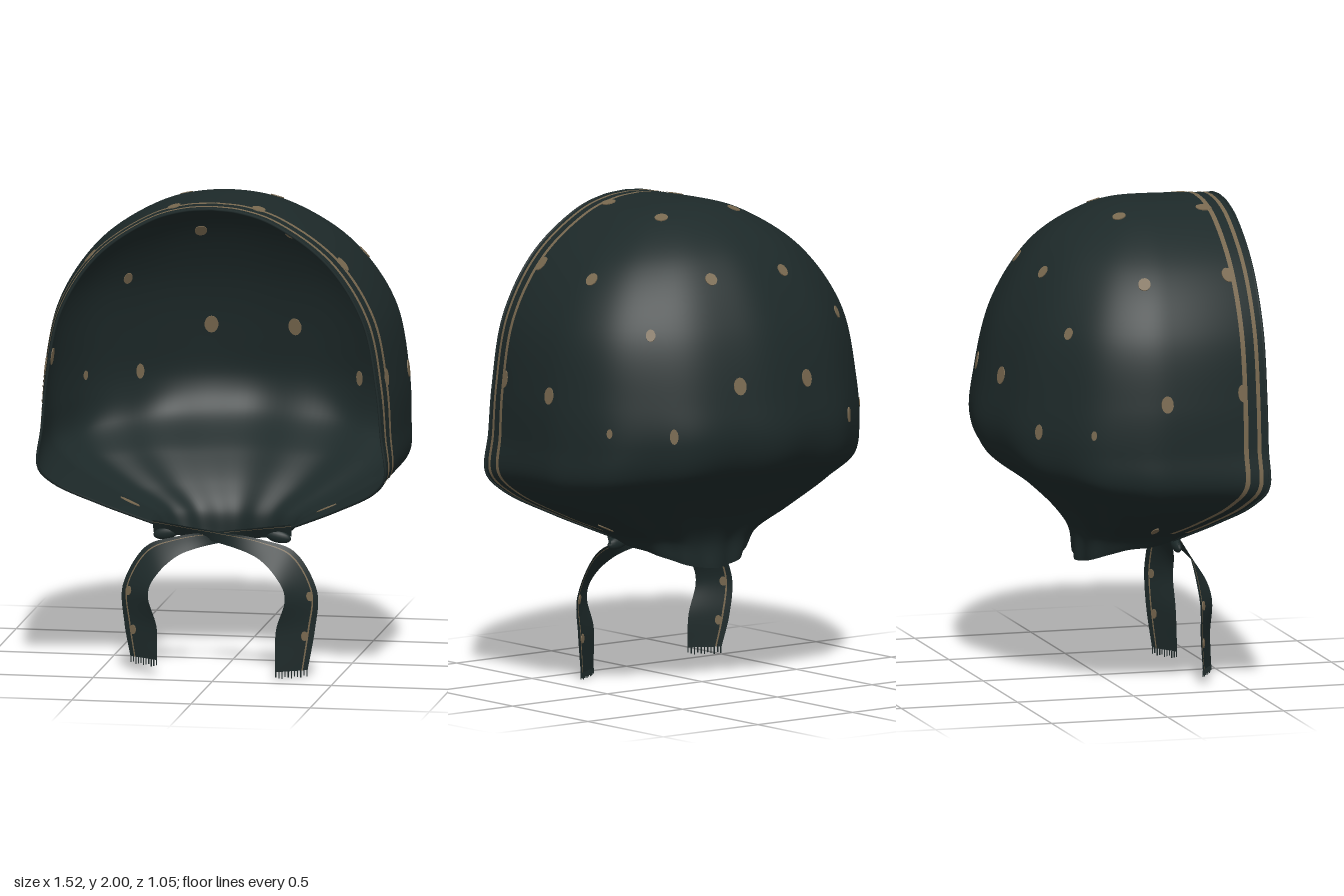
import * as THREE from 'three';
import { mergeVertices } from 'three/addons/utils/BufferGeometryUtils.js';

const V = (x, y, z) => new THREE.Vector3(x, y, z);
const curve = (pts) => new THREE.CatmullRomCurve3(pts.map((p) => V(...p)));

// Guide curves of the hood, each running from the crown down to the neck
const frontEdge = curve([
  [0, 1.99, 0.52], [0.112, 1.98, 0.52], [0.255, 1.935, 0.52], [0.482, 1.775, 0.52],
  [0.635, 1.535, 0.52], [0.693, 1.25, 0.52], [0.712, 1.05, 0.52], [0.728, 0.885, 0.52],
  [0.675, 0.81, 0.47], [0.5, 0.71, 0.37], [0.335, 0.632, 0.283], [0.265, 0.6, 0.245],
]);
const sideLine = curve([
  [0, 2, 0.2], [0.13, 1.99, 0.18], [0.287, 1.943, 0.16], [0.53, 1.78, 0.13],
  [0.693, 1.537, 0.1], [0.75, 1.25, 0.1], [0.757, 1.05, 0.09], [0.75, 0.905, 0.09],
  [0.67, 0.815, 0.09], [0.475, 0.7, 0.08], [0.31, 0.62, 0.09], [0.268, 0.572, 0.1],
]);
const backLine = curve([
  [0, 2, 0.16], [0, 1.993, 0.08], [0, 1.953, -0.06], [0, 1.815, -0.265],
  [0, 1.55, -0.43], [0, 1.25, -0.505], [0, 1.08, -0.52], [0, 0.96, -0.468],
  [0, 0.82, -0.29], [0, 0.7, -0.17], [0, 0.6, -0.11], [0, 0.49, -0.1],
]);
const BACK = 0.6; // share of the half section that is the rounded back

// Point of the hood: u = -1..1 from rim to rim round the back, v = 0..1 from crown to neck
function hoodPoint(u, v) {
  const w = Math.abs(u), side = u < 0 ? -1 : 1;
  const f = frontEdge.getPoint(v), m = sideLine.getPoint(v), b = backLine.getPoint(v);
  if (w > BACK) {
    const t = (w - BACK) / (1 - BACK);
    return V(side * (m.x + (f.x - m.x) * t * t), m.y + (f.y - m.y) * t * t, m.z + (f.z - m.z) * t);
  }
  const a = (w / BACK) * Math.PI / 2, s = Math.sin(a), c = Math.cos(a);
  // soft pleats gathering toward the neck
  const amp = 0.005 + 0.027 * THREE.MathUtils.smoothstep(v, 0.42, 0.85);
  const k = 1 + amp * Math.cos(12 * a) * c * Math.min(1, v * 3);
  return V(side * m.x * s * k, b.y + (m.y - b.y) * s * s, m.z - (m.z - b.z) * c * k);
}

// Local outward frame on the hood
function hoodFrame(u, v) {
  const e = 0.004;
  const u0 = Math.max(-1, u - e), u1 = Math.min(1, u + e);
  const v0 = Math.max(0, v - e), v1 = Math.min(1, v + e);
  const du = hoodPoint(u1, v).sub(hoodPoint(u0, v)).normalize();
  const dv = hoodPoint(u, v1).sub(hoodPoint(u, v0));
  const n = du.clone().cross(dv).normalize();
  return { p: hoodPoint(u, v), n, du };
}

// Smooth surface from a point rule f(s, t), both 0..1
function sheet(f, ns, nt) {
  const pos = [], idx = [];
  for (let j = 0; j <= nt; j++)
    for (let i = 0; i <= ns; i++) pos.push(...f(i / ns, j / nt).toArray());
  for (let j = 0; j < nt; j++)
    for (let i = 0; i < ns; i++) {
      const a = j * (ns + 1) + i, c = a + ns + 1;
      idx.push(a, a + 1, c, a + 1, c + 1, c);
    }
  let g = new THREE.BufferGeometry();
  g.setAttribute('position', new THREE.Float32BufferAttribute(pos, 3));
  g.setIndex(idx);
  g = mergeVertices(g, 1e-5);
  g.computeVertexNormals();
  return g;
}

export function createModel() {
  const group = new THREE.Group();
  group.name = 'bonnet';
  const cloth = new THREE.MeshStandardMaterial({ name: 'dark teal cloth', color: 0x1d2929, side: THREE.DoubleSide });
  const gold = new THREE.MeshStandardMaterial({ name: 'dull gold print', color: 0x78684f, side: THREE.DoubleSide });
  const add = (name, geometry, material, parent = group) => {
    const mesh = new THREE.Mesh(geometry, material);
    mesh.name = name;
    parent.add(mesh);
    return mesh;
  };

  // Hood
  add('hood', sheet((s, t) => hoodPoint(s * 2 - 1, t), 120, 100), cloth);

  for (const side of [1, -1]) {
    const label = side > 0 ? 'left' : 'right';
    // Rolled hem along the face opening
    const hem = [];
    for (let i = 0; i <= 60; i++) hem.push(hoodPoint(side, i / 60).add(V(0, 0, -0.005)));
    add(label + 'Hem', new THREE.TubeGeometry(new THREE.CatmullRomCurve3(hem), 90, 0.006, 6), cloth);

    // Two printed stripes following the rim
    for (const [d0, d1] of [[0.034, 0.052], [0.092, 0.113]]) {
      add(label + 'RimStripe', sheet((s, t) => {
        const v = t * 0.88;
        const run = frontEdge.getPoint(v).z - sideLine.getPoint(v).z;
        const u = side * (BACK + (1 - BACK) * (1 - (d0 + (d1 - d0) * s) / run));
        const { p, n } = hoodFrame(u, v);
        return p.addScaledVector(n, 0.003);
      }, 2, 100), gold);
    }
  }

  // Printed dots, showing on both faces of the cloth: position, then half width and half height
  const dots = [
    [0.19, 1.97, 0.03, 0.028, 0.028], [0.57, 1.74, 0.03, 0.026, 0.03],
    [0.19, 1.765, -0.31, 0.026, 0.028], [0.5, 1.53, -0.29, 0.02, 0.026],
    [0.18, 1.315, -0.48, 0.029, 0.037], [0.455, 1.13, -0.39, 0.018, 0.032],
    [0.63, 1.13, -0.2, 0.012, 0.02], [0.75, 1.27, 0.08, 0.026, 0.036],
    [0.18, 1.97, 0.395, 0.034, 0.028], [0.52, 1.74, 0.395, 0.026, 0.034],
    [0.72, 1.29, 0.405, 0.02, 0.036], [0.42, 0.66, 0.12, 0.014, 0.045],
  ];
  const dotShape = new THREE.CylinderGeometry(1, 1, 0.007, 14);
  for (const [x, y, z, rx, ry] of dots) {
    const target = V(x, y, z);
    let best = null, bestD = Infinity;
    for (let i = 0; i <= 120; i++)
      for (let j = 1; j <= 120; j++) {
        const dist = hoodPoint(i / 120, j / 120).distanceToSquared(target);
        if (dist < bestD) { bestD = dist; best = [i / 120, j / 120]; }
      }
    for (const side of [1, -1]) {
      const { p, n, du } = hoodFrame(best[0] * side, best[1]);
      const dot = add('printedDot', dotShape, gold);
      dot.quaternion.setFromRotationMatrix(new THREE.Matrix4().makeBasis(du, n, du.clone().cross(n)));
      dot.position.copy(p);
      dot.scale.set(rx, 1, ry);
    }
  }

  // Ties: each starts at one neck corner, crosses the front and hangs on the other side
  function tie(name, side, lift, forward) {
    const part = new THREE.Group();
    part.name = name;
    const centre = curve([
      [-0.29, 0.6, 0.262], [-0.15, 0.59, 0.29], [0, 0.572, 0.31], [0.17, 0.535, 0.33],
      [0.28, 0.475, 0.347], [0.347, 0.35, 0.358], [0.325, 0.2, 0.362], [0.31, 0.03 + lift, 0.373],
    ]);
    const half = curve([
      [0, 0.028, 0.012], [0, 0.024, 0.015], [0.005, 0.024, 0.005], [0.012, 0.033, -0.018],
      [0.035, 0.045, -0.04], [0.06, 0.012, -0.044], [0.075, 0, -0.042], [0.062, 0, -0.036],
    ]);
    const at = (s, t) => {
      const p = centre.getPoint(t).addScaledVector(half.getPoint(t), s);
      p.z += forward * Math.sin(Math.PI * Math.min(1, t * 1.4));
      p.x *= side;
      return p;
    };
    // lengthwise bands: cloth, gold line, cloth border
    [[-1, 0.62, cloth], [0.62, 0.71, gold], [0.71, 1, cloth]].forEach(([a, b, mat]) =>
      add(mat === gold ? 'tieStripe' : 'tieCloth', sheet((s, t) => at(a + (b - a) * s, t), 4, 60), mat, part));
    // small dots near the outer edge
    for (const t of [0.73, 0.88]) {
      const p = at(0.5, t), across = at(1, t).sub(at(-1, t)).normalize();
      const along = at(0.5, t + 0.01).sub(at(0.5, t - 0.01)).normalize();
      const n = along.cross(across).normalize();
      const dot = add('tieDot', dotShape, gold, part);
      dot.quaternion.setFromRotationMatrix(new THREE.Matrix4().makeBasis(across, n, across.clone().cross(n)));
      dot.position.copy(p);
      dot.scale.set(0.015, 1, 0.02);
    }
    // frayed threads
    for (let i = 0; i <= 10; i++) {
      const len = 0.022 + 0.008 * ((i * 7) % 3) / 2;
      const thread = add('fringeThread', new THREE.BoxGeometry(0.004, len, 0.004), cloth, part);
      thread.position.copy(at(-0.96 + i * 0.192, 1)).add(V(0, -len / 2, 0));
    }
    // gathered fold at the neck corner
    const fold = add('neckFold', new THREE.SphereGeometry(1, 16, 10), cloth, part);
    fold.position.set(-0.235 * side, 0.573, 0.262);
    fold.rotation.z = 0.2 * side;
    fold.scale.set(0.055, 0.026, 0.018);
    group.add(part);
  }
  tie('leftTie', 1, 0, 0.012);
  tie('rightTie', -1, 0.035, -0.006);

  return group;
}
